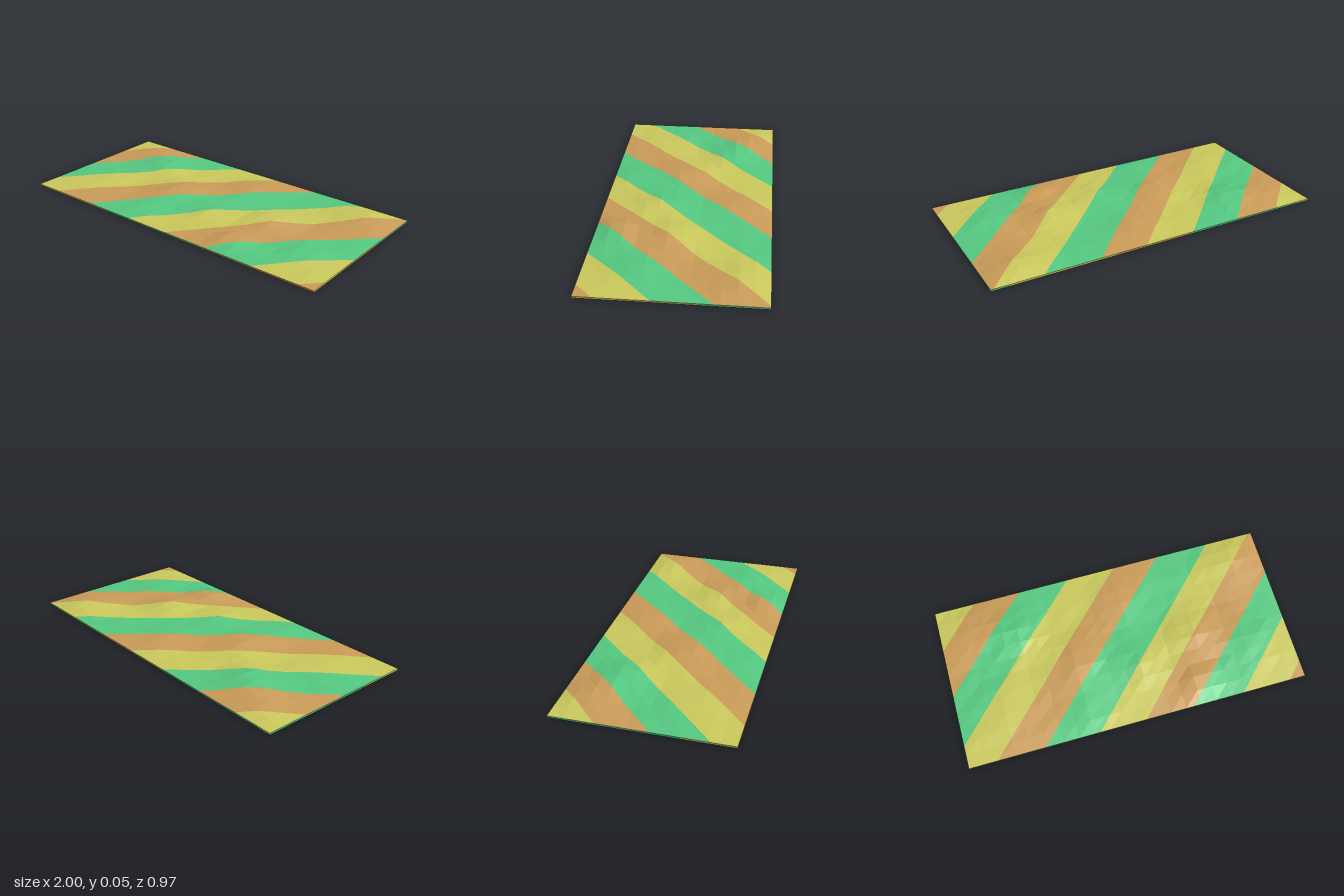
import * as THREE from 'three';

const W = 1, D = 0.485, NX = 22, NZ = 12, THICK = 0.01;

const MATS = {
  Y: new THREE.MeshStandardMaterial({ color: 0xcbca5d, name: 'yellow' }),
  O: new THREE.MeshStandardMaterial({ color: 0xcb9d59, name: 'orange' }),
  G: new THREE.MeshStandardMaterial({ color: 0x56ca82, name: 'green' }),
};

// Soft folds in the cloth: [x, z, height, radius]
const FOLDS = [
  [-0.57, -0.22, 0.036, 0.13], [0.40, 0.35, 0.033, 0.12], [0.43, 0.06, 0.034, 0.13],
  [-0.25, 0.05, 0.031, 0.17], [0.10, 0.15, 0.029, 0.14], [0.80, -0.33, 0.025, 0.14],
  [-0.77, -0.32, 0.022, 0.14], [-0.70, 0.2, 0.015, 0.16], [0.1, -0.25, 0.018, 0.16],
  [0.75, 0.2, 0.018, 0.15], [-0.25, 0.33, 0.014, 0.14],
];

function wobble(i, j) {
  const s = Math.sin(i * 12.9898 + j * 78.233) * 43758.5453;
  return (s - Math.floor(s)) * 0.005;
}

// Height of the cloth's underside at a grid point; the border lies flat
function lift(i, j) {
  const x = -W + (2 * W * i) / NX, z = -D + (2 * D * j) / NZ;
  const rim = Math.min(1, Math.min(W - Math.abs(x), D - Math.abs(z)) / 0.09);
  let y = wobble(i, j);
  for (const [fx, fz, h, r] of FOLDS) y += h * Math.exp(-((x - fx) ** 2 + (z - fz) ** 2) / (r * r));
  return Math.min(y, 0.037) * Math.max(0, rim);
}

const point = (i, j, up) =>
  new THREE.Vector3(-W + (2 * W * i) / NX, lift(i, j) + up, -D + (2 * D * j) / NZ);

// Keep the part of a polygon where f >= 0
function clip(poly, f) {
  const out = [];
  poly.forEach((a, k) => {
    const b = poly[(k + 1) % poly.length], fa = f(a), fb = f(b);
    if (fa >= 0) out.push(a);
    if ((fa >= 0) !== (fb >= 0)) out.push(a.clone().lerp(b, fa / (fa - fb)));
  });
  return out;
}

// Cut polygons into colour bands along a coordinate and make one mesh per colour
function stripedSurface(name, polys, coord, edges, colours) {
  const group = new THREE.Group();
  group.name = name;
  const data = { Y: [], O: [], G: [] };
  [...colours].forEach((c, n) => {
    const lo = n === 0 ? -9 : edges[n - 1], hi = n < edges.length ? edges[n] : 9;
    for (const poly of polys) {
      const p = clip(clip(poly, (v) => coord(v) - lo), (v) => hi - coord(v));
      for (let k = 1; k + 1 < p.length; k++)
        for (const v of [p[0], p[k], p[k + 1]]) data[c].push(v.x, v.y, v.z);
    }
  });
  for (const c of Object.keys(data)) {
    if (!data[c].length) continue;
    const geo = new THREE.BufferGeometry();
    geo.setAttribute('position', new THREE.Float32BufferAttribute(data[c], 3));
    geo.computeVertexNormals();
    const mesh = new THREE.Mesh(geo, MATS[c]);
    mesh.name = `${name} ${MATS[c].name}`;
    group.add(mesh);
  }
  return group;
}

// Triangles of the upper or lower cloth face
function clothFace(up, flip) {
  const polys = [];
  for (let i = 0; i < NX; i++)
    for (let j = 0; j < NZ; j++) {
      const a = point(i, j, up), b = point(i, j + 1, up);
      const c = point(i + 1, j + 1, up), d = point(i + 1, j, up);
      polys.push(...[[a, b, d], [b, c, d]].map((t) => (flip ? t.reverse() : t)));
    }
  return polys;
}

// Flat hem strip between two corners
function hem(x0, z0, x1, z1) {
  const v = (x, y, z) => new THREE.Vector3(x, y, z);
  return [[v(x0, 0, z0), v(x1, 0, z1), v(x1, THICK, z1), v(x0, THICK, z0)]];
}

export function createModel() {
  const rug = new THREE.Group();
  rug.name = 'rug';
  const diagonal = (v) => v.x + 0.975 * v.z;
  const alongX = (v) => v.x, alongZ = (v) => v.z;
  rug.add(
    stripedSurface('top', clothFace(THICK, false), diagonal,
      [-1.23, -0.95, -0.655, -0.36, -0.083, 0.237, 0.51, 0.795, 1.095, 1.375], 'YOGYOGYOGYO'),
    stripedSurface('underside', clothFace(0, true), diagonal, [-1.32, 0.12], 'GOY'),
    stripedSurface('frontHem', hem(-W, D, W, D), alongX, [-0.4, 0.3], 'YGO'),
    stripedSurface('backHem', hem(W, -D, -W, -D), alongX, [-0.92, -0.17, 0.3, 0.9], 'YGOYG'),
    stripedSurface('leftHem', hem(W, D, W, -D), alongZ, [-0.14, 0.27], 'GOY'),
    stripedSurface('rightHem', hem(-W, -D, -W, D), alongZ, [0.2], 'GY'),
  );
  return rug;
}
